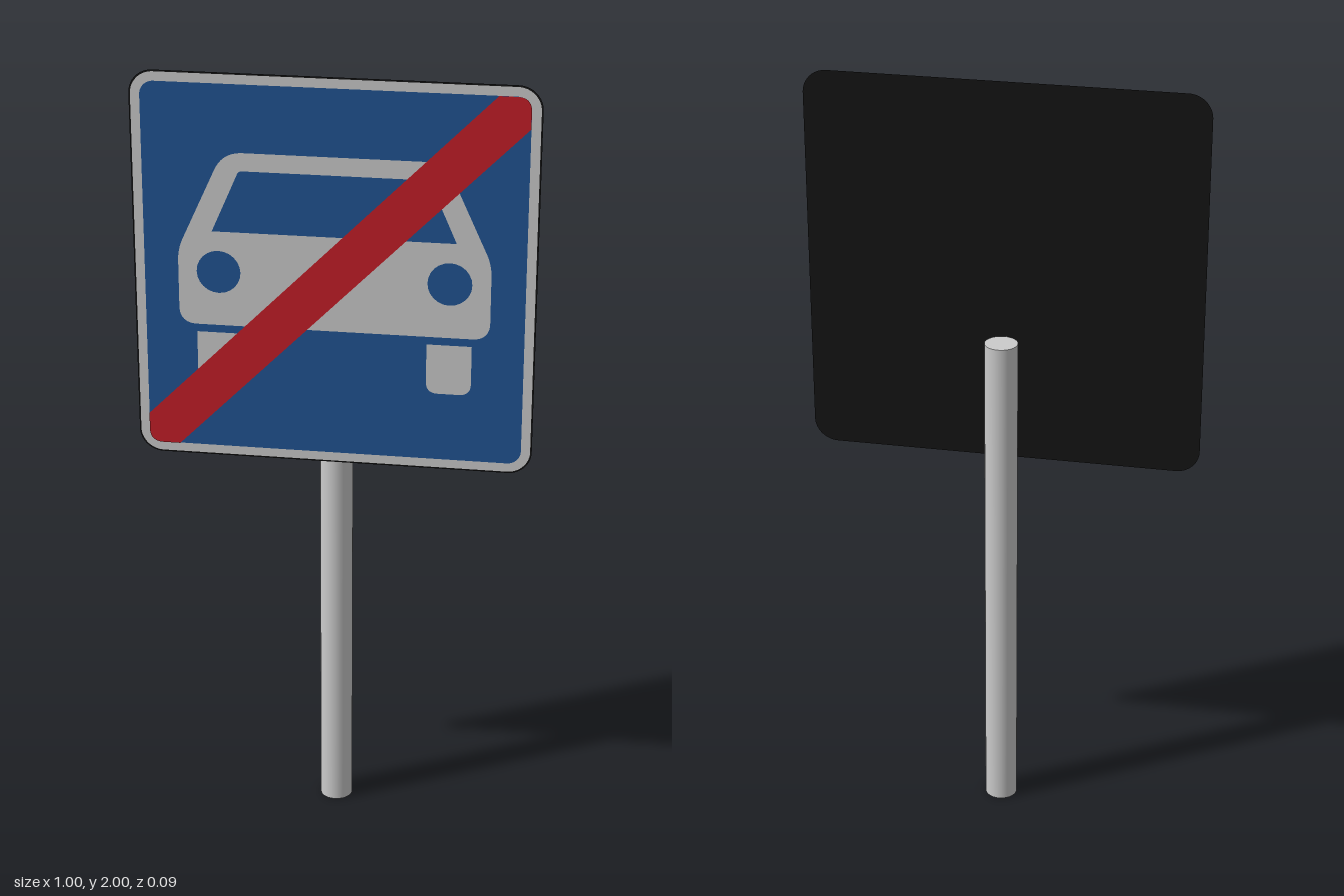
import * as THREE from 'three';

const CY = 1.5; // height of the panel centre

// Polygon with rounded corners; points are [x, y, radius], counter-clockwise
function roundedPoly(points, PathType = THREE.Shape) {
  const path = new PathType();
  const n = points.length;
  points.forEach(([x, y, r], i) => {
    const p = new THREE.Vector2(x, y);
    const toward = ([qx, qy]) => new THREE.Vector2(qx, qy).sub(p).setLength(r).add(p);
    const a = toward(points[(i + n - 1) % n]);
    const b = toward(points[(i + 1) % n]);
    if (i === 0) path.moveTo(a.x, a.y);
    else path.lineTo(a.x, a.y);
    if (r > 0) path.quadraticCurveTo(x, y, b.x, b.y);
  });
  path.closePath();
  return path;
}

// Rounded rectangle with true circular corners
function roundedRect(half, r) {
  const s = new THREE.Shape();
  const c = half - r;
  s.absarc(c, CY + c, r, 0, Math.PI / 2);
  s.absarc(-c, CY + c, r, Math.PI / 2, Math.PI);
  s.absarc(-c, CY - c, r, Math.PI, Math.PI * 1.5);
  s.absarc(c, CY - c, r, Math.PI * 1.5, Math.PI * 2);
  s.closePath();
  return s;
}

const mirror = (half) => [...half, ...half.map(([x, y, r]) => [-x, y, r]).reverse()];

export function createModel() {
  const group = new THREE.Group();
  const grey = new THREE.MeshStandardMaterial({ color: 0xcccccc });
  const blue = new THREE.MeshStandardMaterial({ color: 0x205493 });
  const red = new THREE.MeshStandardMaterial({ color: 0xc41e28 });
  const black = new THREE.MeshStandardMaterial({ color: 0x141414, side: THREE.DoubleSide });

  const add = (name, geometry, material, z) => {
    const mesh = new THREE.Mesh(geometry, material);
    mesh.name = name;
    mesh.position.z = z;
    group.add(mesh);
    return mesh;
  };
  const addFlat = (name, shape, material, z) =>
    add(name, new THREE.ShapeGeometry(shape, 12), material, z);

  // Post behind the panel
  const post = add('post', new THREE.CylinderGeometry(0.042, 0.042, 1.337, 32), grey, -0.005);
  post.position.y = 1.337 / 2;

  // Thin panel: dark backing, pale border, blue field
  addFlat('panelBack', roundedRect(0.5, 0.06), black, 0.042);
  addFlat('border', roundedRect(0.496, 0.057), grey, 0.043);
  addFlat('blueField', roundedRect(0.473, 0.035), blue, 0.044);

  // Car symbol with windscreen and headlight openings
  const car = roundedPoly(mirror([
    [0.388, 1.355, 0.045], [0.388, 1.55, 0.03], [0.272, 1.803, 0.05],
  ]));
  car.holes.push(roundedPoly(mirror([[0.302, 1.6, 0], [0.233, 1.757, 0.008]]), THREE.Path));
  for (const side of [-1, 1]) {
    car.holes.push(new THREE.Path().absarc(side * 0.287, 1.495, 0.055, 0, Math.PI * 2));
  }
  addFlat('carBody', car, grey, 0.045);

  // Wheels below the body
  for (const side of [-1, 1]) {
    const x = side * 0.288;
    addFlat(side > 0 ? 'leftWheel' : 'rightWheel', roundedPoly([
      [x - 0.056, 1.205, 0.03], [x + 0.056, 1.205, 0.03],
      [x + 0.056, 1.335, 0], [x - 0.056, 1.335, 0],
    ]), grey, 0.045);
  }

  // Diagonal stripe, cut to the rounded corners of the blue field
  const h = 0.473, d = 0.078;
  addFlat('diagonalStripe', roundedPoly([
    [-h, CY - h, 0.035], [-h + d, CY - h, 0], [h, CY + h - d, 0],
    [h, CY + h, 0.035], [h - d, CY + h, 0], [-h, CY - h + d, 0],
  ]), red, 0.0465);

  return group;
}
